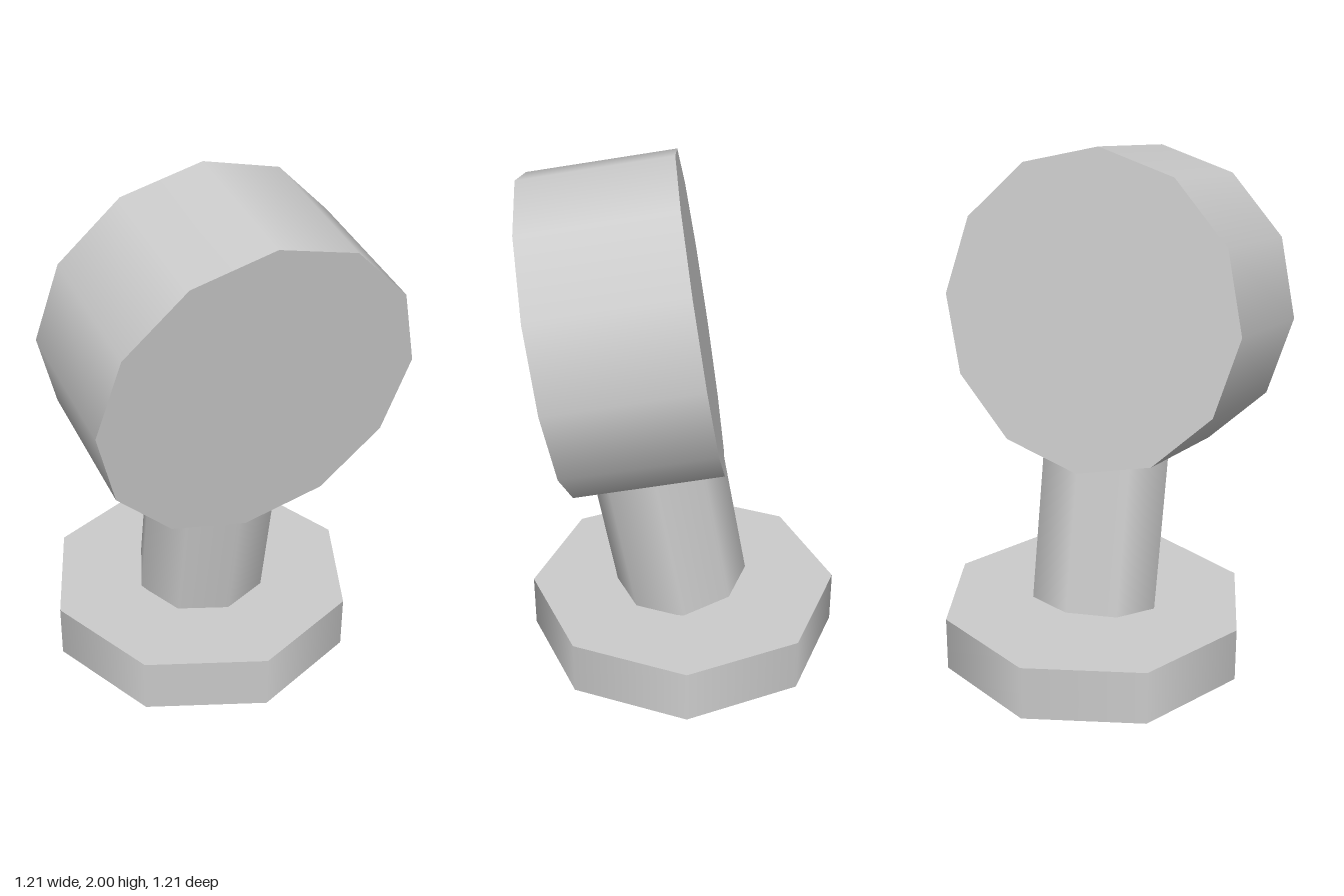
import * as THREE from 'three';

const rad = THREE.MathUtils.degToRad;

export function createModel() {
  const model = new THREE.Group();
  const grey = new THREE.MeshStandardMaterial({ color: 0xcccccc });
  grey.name = 'plain grey';

  // Smooth-sided prism centred on its own axis, tipped forward by an angle about x
  const addDrum = (name, radius, length, sides, tilt, y, z) => {
    const mesh = new THREE.Mesh(new THREE.CylinderGeometry(radius, radius, length, sides), grey);
    mesh.name = name;
    mesh.rotation.x = rad(tilt);
    mesh.position.set(0, y, z);
    model.add(mesh);
  };

  // Eight-sided foot standing on the ground
  addDrum('base', 0.605, 0.215, 8, 0, 0.1075, 0);

  // Leaning stem, running from the top of the base up into the head
  const lean = rad(10), stemLength = 0.8;
  addDrum('stem', 0.258, stemLength, 8, 10,
    0.22 + Math.cos(lean) * stemLength / 2, 0.004 + Math.sin(lean) * stemLength / 2);

  // Twelve-sided head lying on its side, face tipped slightly downwards
  addDrum('head', 0.604, 0.562, 12, 90 + 8.8, 1.3625, 0.2125);

  return model;
}
